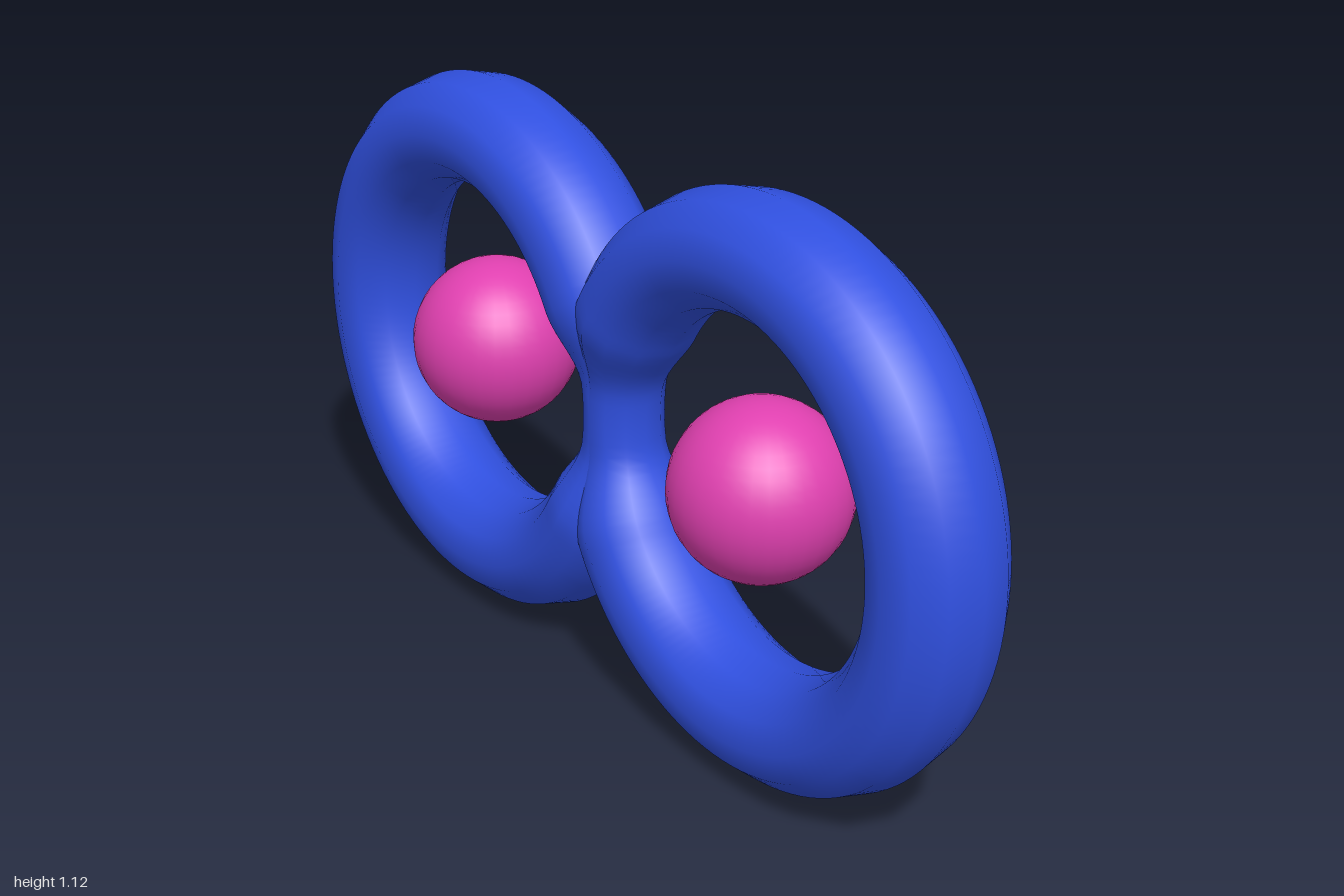
import * as THREE from 'three';
import { mergeVertices } from 'three/addons/utils/BufferGeometryUtils.js';

const CENTER_X = 0.438, CENTER_Y = 0.558;
const RING_R = 0.447, TUBE_R = 0.111, DEPTH = 1.15;

// Twelve-sided ring, pinched to a slim neck on its +x side
function ringGeometry() {
  const geo = new THREE.TorusGeometry(RING_R, TUBE_R, 12, 120);
  geo.deleteAttribute('uv');
  geo.deleteAttribute('normal');
  const p = geo.attributes.position;
  for (let i = 0; i < p.count; i++) {
    const x = p.getX(i), y = p.getY(i), z = p.getZ(i);
    const a = Math.atan2(y, x);
    const cx = RING_R * Math.cos(a), cy = RING_R * Math.sin(a);
    const w = x > 0 ? 1 - THREE.MathUtils.smoothstep(Math.abs(cy), 0.06, 0.23) : 0;
    const s = 1 - 0.36 * w;
    const shift = (CENTER_X - RING_R) * w;
    p.setXYZ(i, cx + (x - cx) * s + shift, cy + (y - cy) * s, z * DEPTH * s);
  }
  const merged = mergeVertices(geo, 1e-5);
  merged.computeVertexNormals();
  return merged;
}

export function createModel() {
  const group = new THREE.Group();
  const blue = new THREE.MeshStandardMaterial({ color: 0x3050e0 });
  const pink = new THREE.MeshStandardMaterial({ color: 0xe040b0 });
  const ringGeo = ringGeometry();
  const ballGeo = new THREE.SphereGeometry(0.172, 32, 24);

  for (const side of [-1, 1]) {
    const label = side > 0 ? 'left' : 'right';
    // Ring, turned so its neck meets the other at the middle
    const ring = new THREE.Mesh(ringGeo, blue);
    ring.name = label + 'Ring';
    ring.position.set(side * CENTER_X, CENTER_Y, 0);
    if (side > 0) ring.rotation.y = Math.PI;
    group.add(ring);

    // Ball floating inside the ring
    const ball = new THREE.Mesh(ballGeo, pink);
    ball.name = label + 'Ball';
    ball.position.set(side * 0.435 - 0.014, 0.56, 0);
    group.add(ball);
  }
  return group;
}
